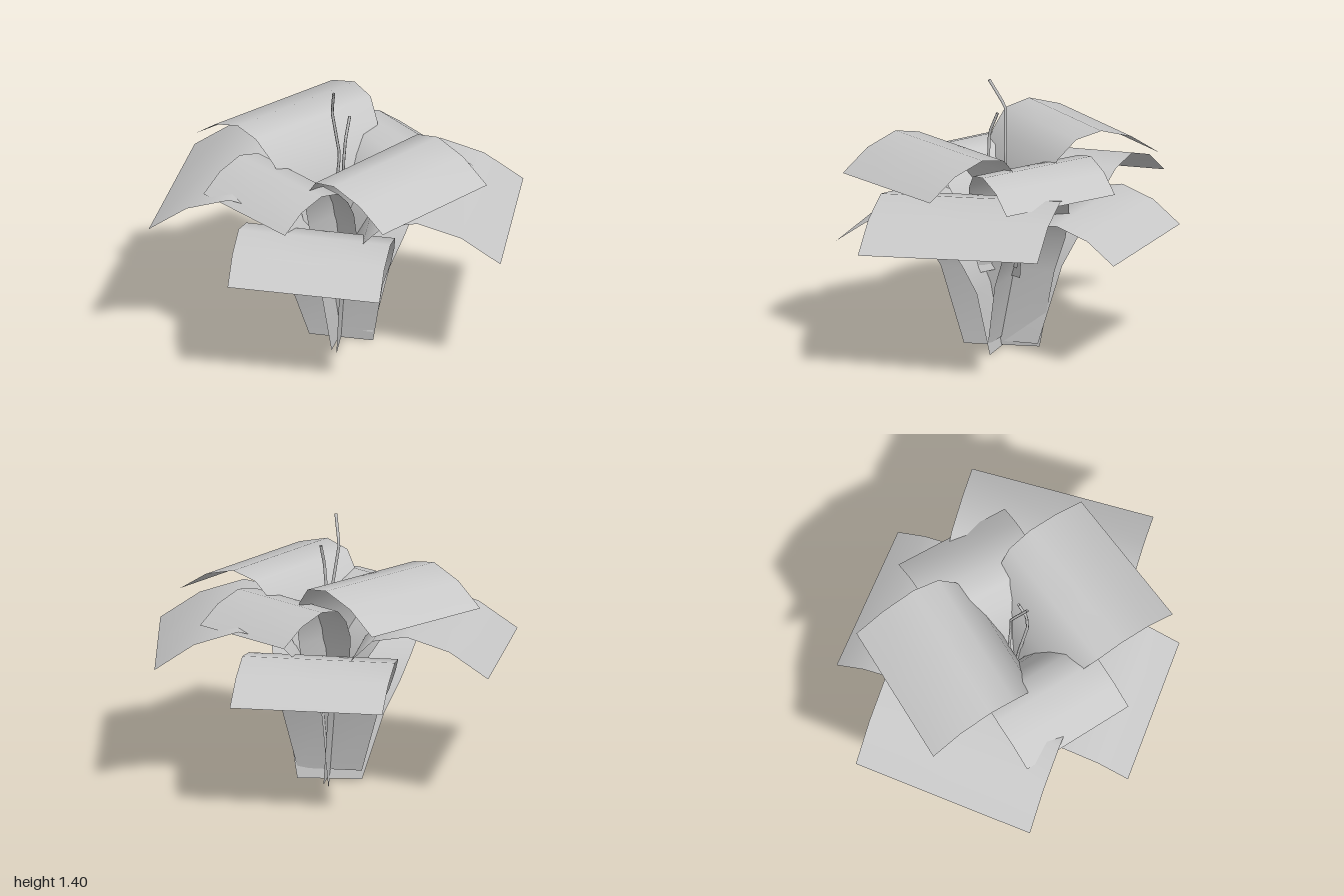
import * as THREE from 'three';

// Unit petal profile from base to tip: [reach, height, half width]
const PROFILE = [
  [0, 0, 0.2], [0.03, 0.41, 0.3], [0.087, 0.6, 0.38], [0.165, 0.75, 0.43],
  [0.275, 0.87, 0.465], [0.45, 0.905, 0.475], [0.673, 0.835, 0.475], [0.873, 0.7, 0.475],
];

// Each petal: outward direction (x, z), scale, base height, tip reach, sideways offset, sideways tilt
const PETALS = [
  { name: 'upperLeftPetal', dir: [0.974, 0.225], scale: 0.795, base: 0.4, reach: 0.695, shift: 0.034, tilt: -0.033 },
  { name: 'upperRightPetal', dir: [-0.94, -0.342], scale: 0.8, base: 0.455, reach: 0.703, shift: 0, tilt: 0.033 },
  { name: 'upperFrontPetal', dir: [-0.29, 0.957], scale: 0.65, base: 0.42, reach: 0.627, shift: 0.035, tilt: 0.03 },
  { name: 'upperBackPetal', dir: [0.355, -0.935], scale: 0.653, base: 0.455, reach: 0.617, shift: -0.01, tilt: -0.045 },
  { name: 'lowerRightPetal', dir: [-0.956, 0.294], scale: 1, base: 0.035, reach: 0.891, shift: 0.028, tilt: 0.047 },
  { name: 'lowerLeftPetal', dir: [0.911, -0.411], scale: 1, base: 0.015, reach: 0.873, shift: 0.021, tilt: -0.042 },
  { name: 'lowerFrontPetal', dir: [0.339, 0.941], scale: 0.825, base: 0.01, reach: 0.761, shift: 0.04, tilt: 0.02 },
  { name: 'lowerBackPetal', dir: [-0.274, -0.962], scale: 0.825, base: 0.06, reach: 0.8, shift: -0.022, tilt: -0.013 },
];

// Curved strip that rises from the base, widens and droops at the tip
function petalGeometry({ dir: [ox, oz], scale, base, reach, shift, tilt }) {
  const geometry = new THREE.PlaneGeometry(1, 1, 2, PROFILE.length - 1);
  const position = geometry.attributes.position;
  const tipHeight = PROFILE[PROFILE.length - 1][1];
  const lean = reach - PROFILE[PROFILE.length - 1][0] * scale;
  for (let i = 0; i < position.count; i++) {
    const [r, h, w] = PROFILE[Math.floor(i / 3)];
    const side = ((i % 3) - 1) * w * scale;
    const out = r * scale + lean * h / tipHeight;
    const across = side + shift * h / tipHeight;
    position.setXYZ(i, ox * out - oz * across, base + h * scale + side * tilt, oz * out + ox * across);
  }
  geometry.computeVertexNormals();
  return geometry;
}

// Thin bent stalk made of straight segments
function stalkGeometry(points) {
  const path = new THREE.CurvePath();
  const v = points.map((p) => new THREE.Vector3(...p));
  for (let i = 1; i < v.length; i++) path.add(new THREE.LineCurve3(v[i - 1], v[i]));
  return new THREE.TubeGeometry(path, 24, 0.008, 5, false);
}

export function createModel() {
  const group = new THREE.Group();
  const grey = new THREE.MeshStandardMaterial({ color: 0xc8c8c8, side: THREE.DoubleSide });
  grey.name = 'petalGrey';

  const add = (name, geometry) => {
    const mesh = new THREE.Mesh(geometry, grey);
    mesh.name = name;
    group.add(mesh);
  };

  for (const petal of PETALS) add(petal.name, petalGeometry(petal));

  // Two stamens rising from the middle
  add('tallStamen', stalkGeometry([[-0.09, 0.41, 0], [-0.05, 0.65, 0], [-0.015, 1.02, -0.01], [-0.045, 1.26, 0.015], [0.005, 1.4, 0.08]]));
  add('shortStamen', stalkGeometry([[0.0, 0.42, 0.0], [0.02, 0.7, 0.02], [0.045, 1.02, 0.05], [0.05, 1.14, 0.04], [0.045, 1.25, -0.01]]));
  return group;
}
